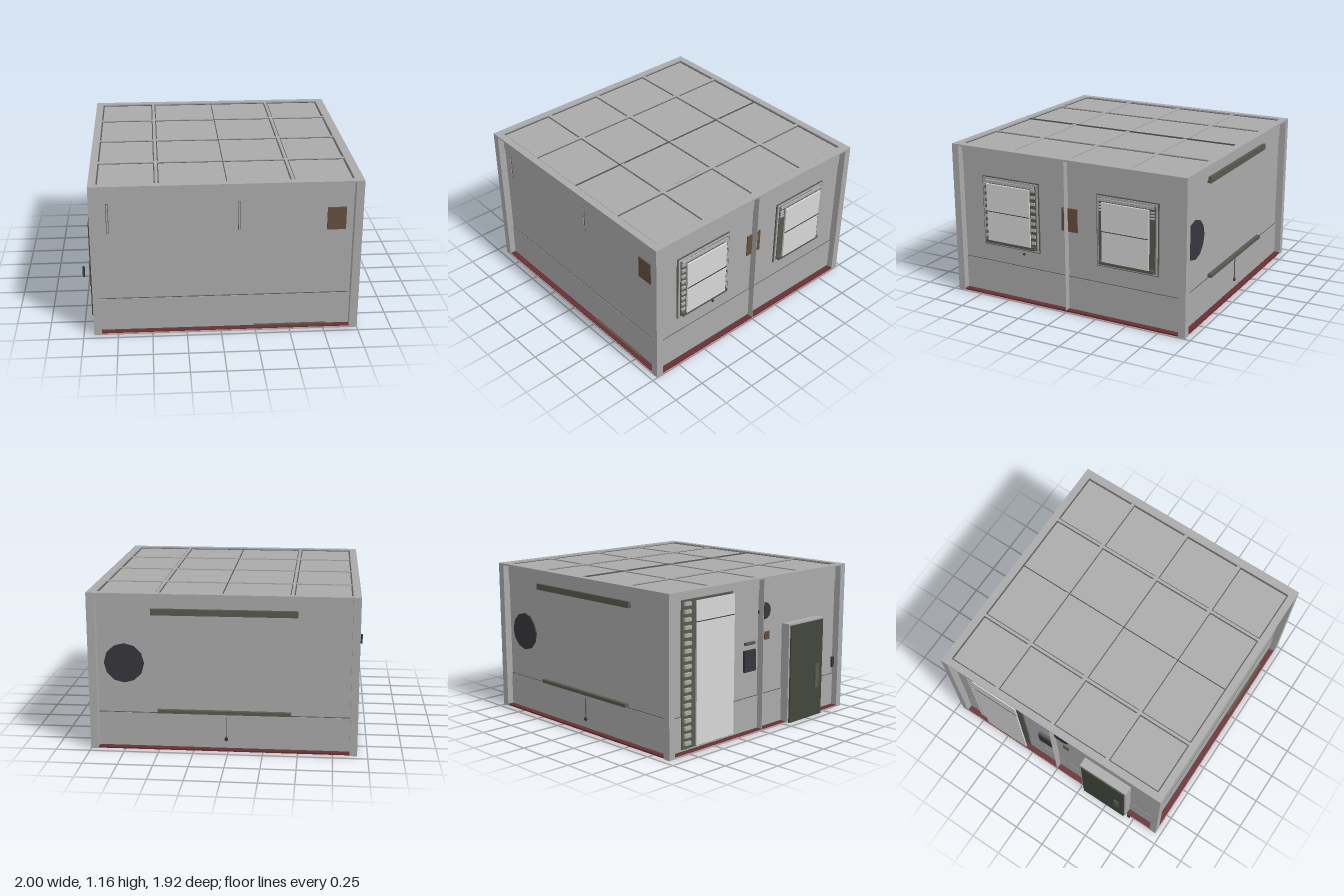
import * as THREE from 'three';

const mat = (name, color) => {
  const m = new THREE.MeshStandardMaterial({ color });
  m.name = name;
  return m;
};

export function createModel() {
  const wall = mat('wall grey', 0xaaaaaa);
  const glass = mat('pale glass', 0xd6d6d6);
  const olive = mat('dark olive', 0x565a4e);
  const door = mat('door green grey', 0x42463c);
  const brown = mat('brown', 0x644e3c);
  const floorRed = mat('floor red', 0x6a2e32);
  const dark = mat('charcoal', 0x37373c);
  const line = mat('seam grey', 0x5a5a5a);
  const rug = mat('rug', 0x5e5038);

  const root = new THREE.Group();
  // Box given by its lower and upper limits on each axis
  const box = (name, m, x0, x1, y0, y1, z0, z1, parent = root) => {
    const mesh = new THREE.Mesh(new THREE.BoxGeometry(x1 - x0, y1 - y0, z1 - z0), m);
    mesh.position.set((x0 + x1) / 2, (y0 + y1) / 2, (z0 + z1) / 2);
    mesh.name = name;
    parent.add(mesh);
    return mesh;
  };
  const disc = (name, m, r, h, x, y, z, axis, sides = 12) => {
    const g = new THREE.CylinderGeometry(r, r, h, sides);
    if (axis === 'z') g.rotateX(Math.PI / 2);
    if (axis === 'x') g.rotateZ(Math.PI / 2);
    const mesh = new THREE.Mesh(g, m);
    mesh.position.set(x, y, z);
    mesh.name = name;
    root.add(mesh);
  };

  // Outer limits, and the recessed wall planes
  const X0 = -0.925, X1 = 1, Z = 0.96, H = 1.16;
  const W0 = -0.87, W1 = 0.945, WZ = 0.905;

  // Floor slab and recessed walls
  box('floor', floorRed, X0 + 0.005, X1 - 0.005, 0.006, 0.018, -Z + 0.005, Z - 0.005);
  box('walls', wall, W0, W1, 0.018, 1.147, -WZ, WZ);
  const t = 0.006;
  box('wainscot', wall, W0 - t, W1 + t, 0.018, 0.268, -WZ - t, WZ + t);
  box('wainscotSeam', line, W0 - t / 2, W1 + t / 2, 0.268, 0.273, -WZ - t / 2, WZ + t / 2);
  box('frieze', wall, W0 - t, W1 + t, 1.02, 1.147, -WZ - t, WZ + t);

  // Corner posts
  for (const [a, b] of [[X0, W0], [W1 - 0.003, X1]])
    for (const [c, d] of [[-Z, -WZ], [WZ, Z]])
      box('cornerPost', wall, a, b, 0.004, 1.147, c, d);

  // Thin dividing fins in the middle of the side walls
  box('wallFin', wall, W1, X1 - 0.002, 0.018, 1.147, -0.002, 0.002);
  box('wallFin', wall, X0 + 0.002, W0, 0.018, 1.147, -0.002, 0.002);

  // Raised roof rim
  const roof = new THREE.Group();
  roof.name = 'roof';
  root.add(roof);
  box('rim', wall, X0, X1, 1.147, H, WZ, Z, roof);
  box('rim', wall, X0, X1, 1.147, H, -Z, -WZ, roof);
  box('rim', wall, X0, W0, 1.147, H, -WZ, WZ, roof);
  box('rim', wall, W1 - 0.008, X1, 1.147, H, -WZ, WZ, roof);
  // Dark seam inside the rim
  box('rimSeam', line, W0, W1 - 0.008, 1.147, 1.15, WZ - 0.01, WZ, roof);
  box('rimSeam', line, W0, W1 - 0.008, 1.147, 1.15, -WZ, -WZ + 0.01, roof);
  box('rimSeam', line, W0, W0 + 0.01, 1.147, 1.15, -WZ, WZ, roof);
  box('rimSeam', line, W1 - 0.018, W1 - 0.008, 1.147, 1.15, -WZ, WZ, roof);
  // Grid of beams
  for (const x of [-0.45, 0.505]) {
    box('beamSeam', line, x - 0.018, x + 0.018, 1.147, 1.149, -WZ, WZ, roof);
    box('beam', wall, x - 0.01, x + 0.01, 1.147, 1.156, -WZ, WZ, roof);
  }
  box('ridgeFin', line, 0.038, 0.042, 1.147, 1.158, -WZ, WZ, roof);
  for (const z of [-0.49, 0, 0.475]) {
    box('beamSeam', line, W0, W1, 1.147, 1.149, z, z + 0.017, roof);
    box('beam', wall, W0, W1, 1.147, 1.155, z - 0.016, z + 0.01, roof);
  }

  // Projecting windows on the right wall
  const makeWindow = (zc, slatted) => {
    const g = new THREE.Group();
    g.name = 'window';
    root.add(g);
    const w = 0.245;
    box('frameOutline', line, W1, W1 + 0.008, 0.4, 0.935, zc - w, zc + w, g);
    box('frame', wall, W1, W1 + 0.014, 0.408, 0.927, zc - w + 0.008, zc + w - 0.008, g);
    box('reveal', olive, W1, W1 + 0.018, 0.422, 0.912, zc - 0.224, zc + 0.224, g);
    box('headRail', wall, W1, W1 + 0.03, 0.893, 0.912, zc - 0.215, zc + 0.215, g);
    box('sill', olive, W1, 0.985, 0.425, 0.45, zc - 0.215, zc + 0.215, g);
    box('lowerPane', glass, 0.98, 0.992, 0.45, 0.68, zc - 0.185, zc + 0.185, g);
    box('upperPane', glass, 0.98, 0.994, 0.68, 0.89, zc - 0.185, zc + 0.185, g);
    box('paneBar', dark, 0.98, 0.999, 0.678, 0.682, zc - 0.185, zc + 0.185, g);
    // Stacked slats beside the panes
    for (let y = slatted ? 0.47 : 0.82; y < 0.88; y += slatted ? 0.05 : 0.022)
      for (const s of [-1, 1]) {
        const c = zc + s * 0.202;
        box('slat', wall, W1, 0.975, y, y + (slatted ? 0.02 : 0.01), c - 0.017, c + 0.017, g);
      }
  };
  makeWindow(0.485, true);
  makeWindow(-0.485, false);
  box('rightPicture', brown, W1, W1 + 0.008, 0.615, 0.79, -0.08, 0.05);
  box('latch', dark, W1, W1 + 0.012, 0.365, 0.38, 0.375, 0.388);

  // Front wall fittings
  for (const x of [-0.8, 0.13]) {
    box('hangingStripEdge', line, x - 0.009, x + 0.009, 0.79, 1.01, WZ, WZ + 0.005);
    box('hangingStrip', wall, x - 0.005, x + 0.005, 0.794, 1.006, WZ, WZ + 0.009);
  }
  box('frontPicture', brown, 0.755, 0.89, 0.775, 0.945, WZ, WZ + 0.009);
  box('floorStrip', brown, 0.24, 0.77, 0.012, 0.027, WZ, WZ + 0.028);

  // Back wall fittings
  disc('clock', dark, 0.145, 0.012, 0.75, 0.64, -WZ - 0.004, 'z');
  box('upperRail', olive, -0.49, 0.55, 1.0, 1.045, -WZ - 0.03, -WZ);
  box('lowerRail', olive, -0.45, 0.51, 0.275, 0.3, -WZ - 0.03, -WZ);
  box('pullCord', line, 0.013, 0.019, 0.09, 0.25, -WZ - 0.012, -WZ);
  disc('pullKnob', dark, 0.014, 0.012, 0.016, 0.085, -WZ - 0.01, 'z');

  // Entrance door on the left wall
  box('doorFrame', wall, -0.942, W0, 0.018, 0.775, 0.27, 0.68);
  box('doorLeaf', door, -0.952, -0.94, 0.006, 0.762, 0.285, 0.668);
  box('doorPlate', olive, -0.96, -0.95, 0.23, 0.42, 0.58, 0.625);
  box('doorbell', dark, -1, -0.984, 0.375, 0.455, 0.735, 0.757);

  // Tall glazed opening on the left wall
  box('tallReveal', olive, -0.88, W0, 0.03, 1.09, -0.8, -0.29);
  box('tallLowerPane', glass, -0.92, -0.908, 0.05, 0.93, -0.69, -0.31);
  box('tallUpperPane', glass, -0.92, -0.908, 0.936, 1.08, -0.69, -0.31);
  box('tallPaneBar', dark, -0.922, -0.908, 0.93, 0.936, -0.69, -0.31);
  for (let y = 0.06; y < 1.06; y += 0.055)
    box('tallSlat', wall, -0.9, W0, y, y + 0.025, -0.78, -0.72);

  // Small objects on the left wall
  box('wallBox', dark, -0.89, W0, 0.47, 0.63, -0.16, -0.04);
  box('smallShelf', olive, -0.89, W0, 0.67, 0.69, -0.15, -0.05);
  disc('leftDisc', dark, 0.065, 0.014, W0 - 0.005, 0.9, 0.06, 'x');
  box('smallPicture', brown, W0 - 0.01, W0, 0.68, 0.74, 0.07, 0.12);

  // Underside edging, rugs and feet
  box('baseEdge', wall, X0, X1, 0.002, 0.012, Z - 0.03, Z);
  box('baseEdge', wall, X0, X0 + 0.03, 0.002, 0.012, -Z, Z);
  for (const [x, z, w, d] of [[0.66, 0.01, 0.32, 0.36], [0.18, 0, 0.22, 0.22], [-0.42, -0.08, 0.13, 0.16]])
    box('rug', rug, x - w / 2, x + w / 2, 0.003, 0.007, z - d / 2, z + d / 2);
  for (const x of [-0.22, -0.06])
    for (const z of [-0.37, -0.53]) disc('foot', dark, 0.026, 0.008, x, 0.004, z, 'y');

  return root;
}
